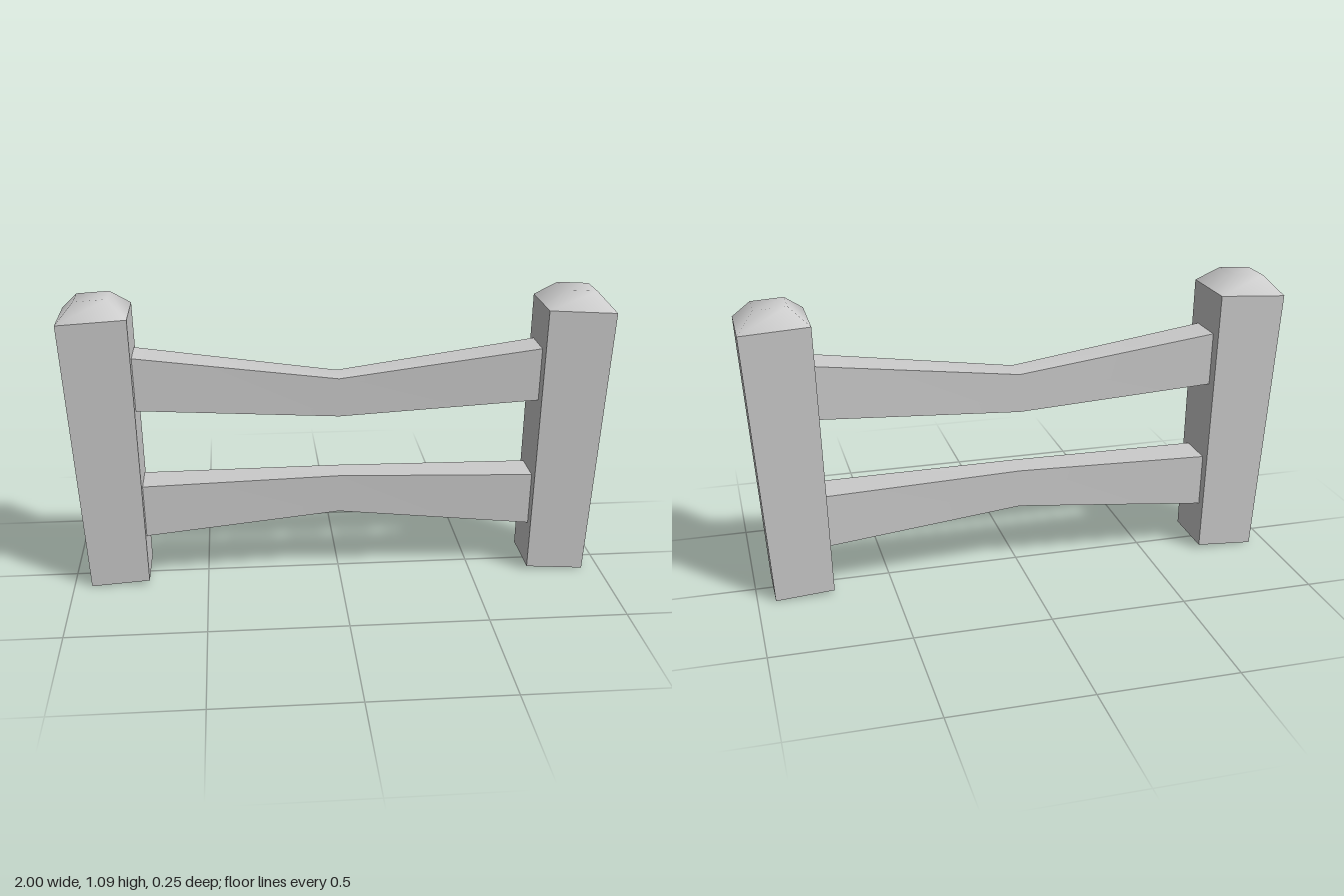
import * as THREE from 'three';
import { mergeGeometries } from 'three/addons/utils/BufferGeometryUtils.js';

const material = new THREE.MeshStandardMaterial({ color: 0xcccccc, side: THREE.DoubleSide });

// Skin over four-cornered rings; shared corners give smooth normals.
function loft(rings, sides = [0, 1, 2, 3], closeEnd = false) {
  const index = [];
  for (let r = 0; r < rings.length - 1; r++) {
    for (const k of sides) {
      const a = r * 4 + k, b = r * 4 + (k + 1) % 4;
      index.push(a, b, b + 4, a, b + 4, a + 4);
    }
  }
  if (closeEnd) {
    const e = (rings.length - 1) * 4;
    index.push(e, e + 1, e + 2, e, e + 2, e + 3);
  }
  const geometry = new THREE.BufferGeometry();
  geometry.setAttribute('position', new THREE.Float32BufferAttribute(rings.flat(2), 3));
  geometry.setIndex(index);
  geometry.computeVertexNormals();
  return geometry;
}

// Four separate sides keep the long edges sharp.
const sharpLoft = (rings) => mergeGeometries([0, 1, 2, 3].map((k) => loft(rings, [k])));

function part(name, geometry) {
  const mesh = new THREE.Mesh(geometry, material);
  mesh.name = name;
  return mesh;
}

// Horizontal ring of a post, from its inner and outer [x, y] and half depth.
function postRing(side, inner, outer, z) {
  const [l, r] = side > 0 ? [inner, outer] : [outer, inner];
  const [lx, rx] = [l[0] * side, r[0] * side];
  return [[lx, l[1], z], [rx, r[1], z], [rx, r[1], -z], [lx, l[1], -z]];
}

// Leaning post with an open foot and a softly shaded bevelled cap.
function post(name, side) {
  const foot = postRing(side, [0.72, 0.015], [0.935, 0], 0.112);
  const rim = postRing(side, [0.75, 1.03], [1, 1.015], 0.127);
  const crown = postRing(side, [0.82, 1.09], [0.938, 1.083], 0.063);
  const group = new THREE.Group();
  group.name = name;
  group.add(part('shaft', sharpLoft([foot, rim])));
  group.add(part('cap', loft([rim, crown], undefined, true)));
  return group;
}

// Vertical ring of a rail, from its top and bottom [x, y] and half depth.
function railRing(top, bottom, z) {
  const zc = -0.004;
  return [[...top, zc + z], [...bottom, zc + z], [...bottom, zc - z], [...top, zc - z]];
}

// Rail narrowing to its middle, its ends meeting the posts.
function rail(name, top, bottom, midTop, midBottom) {
  const flip = ([x, y]) => [-x, y];
  return part(name, sharpLoft([
    railRing(flip(top), flip(bottom), 0.074),
    railRing([0, midTop], [0, midBottom], 0.056),
    railRing(top, bottom, 0.074),
  ]));
}

export function createModel() {
  const fence = new THREE.Group();
  fence.name = 'fence';
  fence.add(
    post('leftPost', 1),
    post('rightPost', -1),
    rail('upperRail', [0.746, 0.873], [0.74, 0.675], 0.772, 0.627),
    rail('lowerRail', [0.731, 0.378], [0.725, 0.18], 0.391, 0.247),
  );
  return fence;
}
